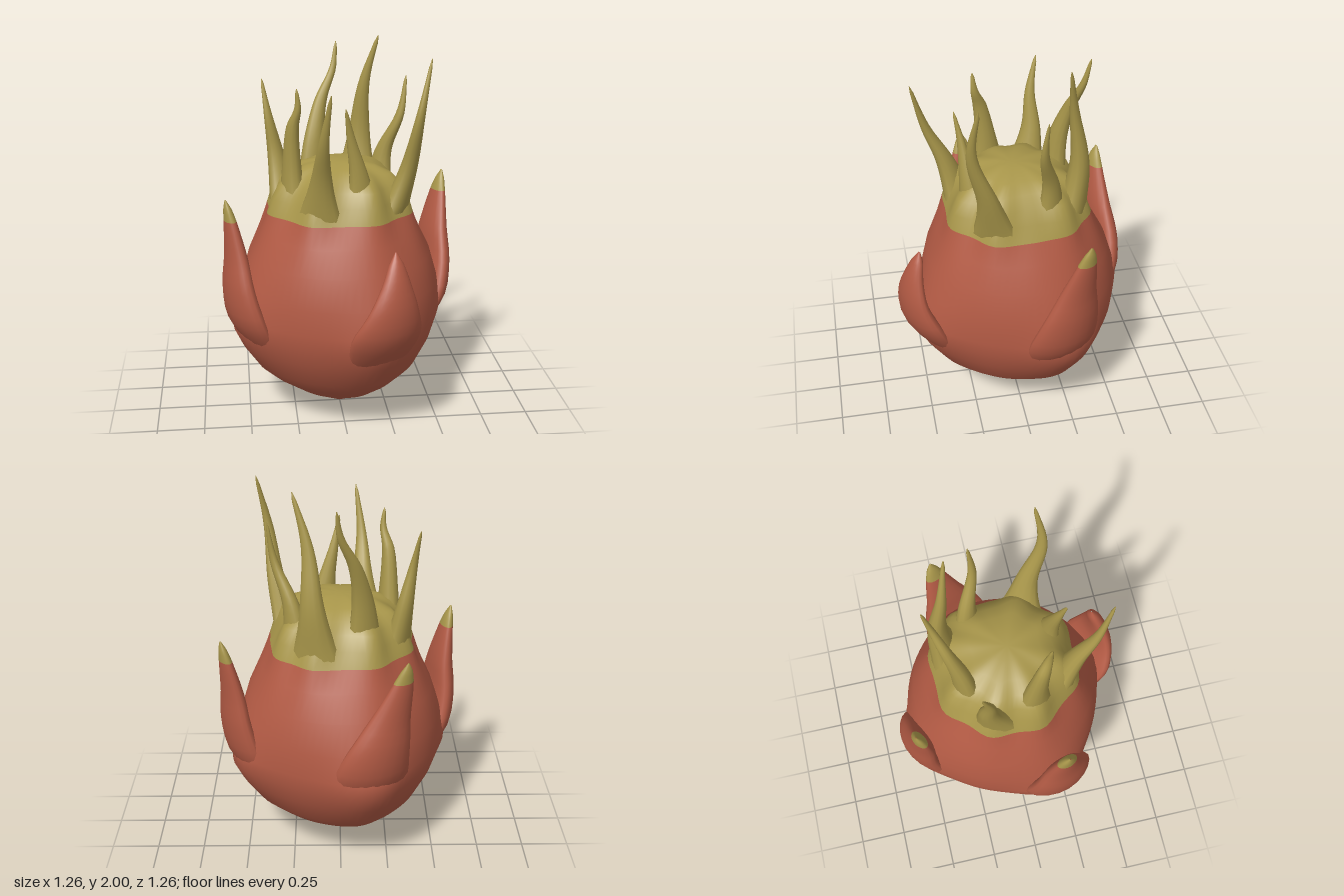
import * as THREE from 'three';

const red = new THREE.MeshStandardMaterial({ color: 0xb25a44 });
red.name = 'red skin';
const olive = new THREE.MeshStandardMaterial({ color: 0xa8964a });
olive.name = 'olive green';

const SPLIT = 1.14; // height where the skin turns green
const rad = THREE.MathUtils.degToRad;

// Closed rings of points joined into one smooth skin; rings from splitRing on are green.
function loft(name, rings, splitRing) {
  const n = rings[0].length, pos = [], index = [];
  rings.forEach(r => r.forEach(p => pos.push(p.x, p.y, p.z)));
  for (let j = 0; j < rings.length - 1; j++) {
    for (let i = 0; i < n; i++) {
      const a = j * n + i, b = j * n + (i + 1) % n, c = a + n, d = b + n;
      index.push(a, b, d, a, d, c);
    }
  }
  const geo = new THREE.BufferGeometry();
  geo.setAttribute('position', new THREE.Float32BufferAttribute(pos, 3));
  geo.setIndex(index);
  geo.computeVertexNormals();
  const cut = splitRing * n * 6;
  geo.addGroup(0, cut, 0);
  geo.addGroup(cut, index.length - cut, 1);
  const mesh = new THREE.Mesh(geo, [red, olive]);
  mesh.name = name;
  return mesh;
}

// Paths of the crown spikes, root (inside the crown) to tip, with root thickness
const SPIKES = [
  { r: 0.08, p: [[-0.29, 1.16, -0.12], [-0.325, 1.4, -0.165], [-0.36, 1.6, -0.165], [-0.39, 1.79, -0.2]] },
  { r: 0.08, p: [[-0.25, 1.16, 0.08], [-0.255, 1.38, 0.09], [-0.25, 1.6, 0.12], [-0.225, 1.7, 0.15], [-0.23, 1.8, 0.16]] },
  { r: 0.085, p: [[-0.13, 1.16, 0.26], [-0.125, 1.38, 0.33], [-0.12, 1.58, 0.42], [-0.09, 1.83, 0.49]] },
  { r: 0.075, p: [[0.1, 1.16, 0.22], [0.07, 1.38, 0.24], [0.03, 1.56, 0.26], [0.0, 1.72, 0.29]] },
  { r: 0.085, p: [[0.27, 1.16, 0.13], [0.335, 1.4, 0.18], [0.375, 1.68, 0.26], [0.43, 1.95, 0.23]] },
  { r: 0.075, p: [[0.22, 1.16, -0.16], [0.25, 1.4, -0.15], [0.33, 1.61, -0.1], [0.36, 1.81, -0.11]] },
  { r: 0.095, p: [[0.12, 1.16, -0.29], [0.14, 1.45, -0.32], [0.16, 1.74, -0.28], [0.23, 2.0, -0.24]] },
  { r: 0.075, p: [[-0.12, 1.16, -0.23], [-0.11, 1.45, -0.26], [-0.07, 1.65, -0.31], [0.0, 1.81, -0.36], [0.02, 1.95, -0.39]] },
];
const spikeAngles = SPIKES.map(s => Math.atan2(s.p[0][0], s.p[0][2]));

// Petals: azimuth of base and tip, outward lean of the tip;
// profile rows are [y, radius, half width, half thickness]
const tall = [
  [0.2, 0.26, 0.06, 0.03], [0.42, 0.44, 0.15, 0.06], [0.6, 0.55, 0.2, 0.075],
  [0.78, 0.585, 0.165, 0.065], [0.95, 0.585, 0.11, 0.052], [SPLIT, 0.605, 0.055, 0.03],
  [1.2, 0.615, 0.032, 0.02], [1.25, 0.625, 0.003, 0.003]];
const short = [
  [0.2, 0.26, 0.06, 0.03], [0.42, 0.45, 0.16, 0.06], [0.6, 0.565, 0.195, 0.07],
  [0.76, 0.61, 0.14, 0.052], [0.9, 0.6, 0.08, 0.04], [1.0, 0.575, 0.04, 0.028],
  [1.06, 0.56, 0.003, 0.003]];
const PETALS = [
  { name: 'frontPetal', base: 20, tip: 24, lean: 0, rows: short },
  { name: 'leftPetal', base: 110, tip: 115, lean: 0.035, rows: tall },
  { name: 'backPetal', base: 197, tip: 211, lean: 0, rows: tall },
  { name: 'rightPetal', base: 289, tip: 287, lean: 0, rows: tall },
];

// Soft bump around a set of azimuths
function bump(theta, angles, width) {
  return angles.reduce((s, a) => {
    const d = Math.atan2(Math.sin(theta - a), Math.cos(theta - a));
    return s + Math.exp(-((d / width) ** 2));
  }, 0);
}

// Bulb body with crown: swells under the petals and spikes, domed on top
function makeBody() {
  // rows: [radius, y, petal swelling, spike swelling]
  const rows = [
    [0.001, 0, 0, 0], [0.12, 0.065, 0, 0], [0.24, 0.13, 0.01, 0], [0.345, 0.21, 0.025, 0],
    [0.425, 0.29, 0.035, 0], [0.49, 0.42, 0.06, 0], [0.518, 0.52, 0.08, 0], [0.525, 0.6, 0.075, 0],
    [0.52, 0.74, 0.03, 0], [0.48, 0.9, 0.01, 0.005], [0.42, 1.03, 0, 0.015], [0.365, SPLIT, 0, 0.035],
    [0.325, 1.22, 0, 0.05], [0.285, 1.29, 0, 0.055], [0.235, 1.345, 0, 0.045],
    [0.165, 1.38, 0, 0.025], [0.08, 1.4, 0, 0.005], [0.001, 1.4, 0, 0]];
  const petalAngles = PETALS.map(p => rad(p.base));
  const rings = rows.map(([r, y, pb, sb]) => {
    const ring = [];
    for (let i = 0; i < 72; i++) {
      const t = i / 72 * Math.PI * 2;
      const q = r + pb * bump(t, petalAngles, 0.36) + sb * bump(t, spikeAngles, 0.24);
      ring.push(new THREE.Vector3(q * Math.sin(t), y, q * Math.cos(t) - 0.05 * r));
    }
    return ring;
  });
  return loft('body', rings, rows.findIndex(r => r[1] === SPLIT));
}

// Thick pointed petal whose edges hug the bulb
function makePetal({ name, base, tip, lean, rows }) {
  const curve = new THREE.CatmullRomCurve3(rows.map(r => new THREE.Vector3(r[0], r[1], 0)));
  const size = new THREE.CatmullRomCurve3(rows.map(r => new THREE.Vector3(r[2], r[3], 0)));
  const steps = (rows.length - 1) * 3, rings = [];
  for (let j = 0; j <= steps; j++) {
    const c = curve.getPoint(j / steps), s = size.getPoint(j / steps), ring = [];
    const k = THREE.MathUtils.smoothstep(c.x, 0.6, 1.25);
    const a = rad(THREE.MathUtils.lerp(base, tip, k));
    for (let i = 0; i < 20; i++) {
      const t = i / 20 * Math.PI * 2, u = Math.sin(t) * s.x;
      const r = c.y + lean * k + Math.cos(t) * s.y - 0.9 * u * u;
      ring.push(new THREE.Vector3(
        r * Math.sin(a) + u * Math.cos(a), c.x, r * Math.cos(a) - u * Math.sin(a)));
    }
    rings.push(ring);
  }
  const cut = rows.findIndex(r => r[0] === SPLIT);
  return loft(name, rings, cut < 0 ? steps : cut * 3);
}

// Tapering curved spike with a flared root, wider along the crown wall than through it
function makeSpike({ r, p }, i) {
  const path = new THREE.CatmullRomCurve3(p.map(v => new THREE.Vector3(...v)));
  const a = spikeAngles[i], steps = 18, rings = [];
  for (let j = 0; j <= steps; j++) {
    const f = j / steps, c = path.getPoint(f);
    const w = r * (0.1 + 0.9 * Math.pow(1 - f, 1.25)) * (j === steps ? 0.2 : 1);
    const flare = 1 + 0.45 * Math.max(0, 1 - f / 0.45) ** 2;
    const ring = [];
    for (let k = 0; k < 12; k++) {
      const t = k / 12 * Math.PI * 2, u = Math.sin(t) * w * flare, v = Math.cos(t) * w * 0.82;
      ring.push(new THREE.Vector3(
        c.x + u * Math.cos(a) + v * Math.sin(a), c.y, c.z - u * Math.sin(a) + v * Math.cos(a)));
    }
    rings.push(ring);
  }
  return loft('crownSpike' + (i + 1), rings, 0);
}

export function createModel() {
  const model = new THREE.Group();
  model.name = 'spikyFruit';
  model.add(makeBody(), ...PETALS.map(makePetal), ...SPIKES.map(makeSpike));
  return model;
}
